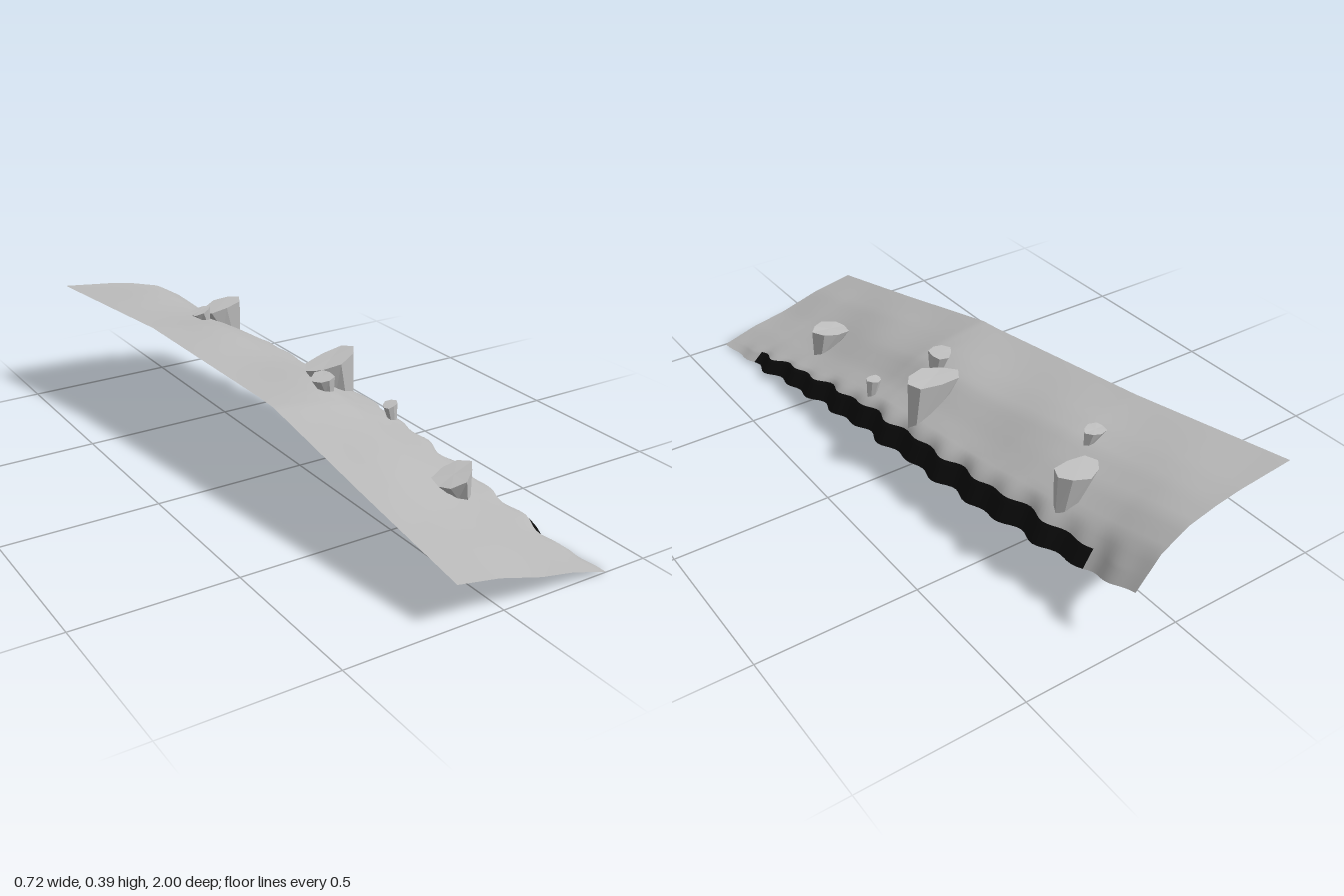
import * as THREE from 'three';

const rock = new THREE.MeshStandardMaterial({ color: 0xb8b8b8, side: THREE.DoubleSide });
rock.name = 'pale grey stone';
const boulderGrey = new THREE.MeshStandardMaterial({ color: 0xc0c0c0, flatShading: true, side: THREE.DoubleSide });
boulderGrey.name = 'light grey boulder';
const dark = new THREE.MeshStandardMaterial({ color: 0x0c0c0c, side: THREE.DoubleSide });
dark.name = 'black cliff edge';

// piecewise linear lookup in a list of [key, value]
function lookup(points, k) {
  for (let i = 1; i < points.length; i++) {
    const [a, va] = points[i - 1], [b, vb] = points[i];
    if (k <= b) return va + (vb - va) * Math.max(0, (k - a) / (b - a));
  }
  return points[points.length - 1][1];
}

// plan outline and heights of the two long edges, by z
const leftX = [[-1, -0.36], [-0.5, -0.26], [0.1, -0.2], [1, -0.16]];
const rightX = [[-1, 0.16], [-0.8, 0.185], [-0.4, 0.25], [0, 0.285], [0.4, 0.31], [0.8, 0.34], [1, 0.36]];
const leftY = [[-1, 0.39], [-0.5, 0.365], [0.17, 0.312], [0.6, 0.215], [1, 0.13]];
const rightY = [[-1, 0.19], [-0.82, 0.148], [0.1, 0.103], [0.8, 0.013], [1, 0.003]];

// share of the drop reached across the slope, at four stations along z
const drops = [
  [-1, [[0, 0], [0.35, 0.1], [0.5, 0.17], [0.69, 0.3], [0.85, 0.55], [1, 1]]],
  [-0.5, [[0, 0], [0.35, 0.1], [0.5, 0.17], [0.67, 0.34], [0.9, 0.6], [0.935, 0.7], [1, 1]]],
  [0.1, [[0, 0], [0.4, 0.12], [0.54, 0.19], [0.73, 0.45], [0.92, 0.62], [0.935, 0.69], [1, 1]]],
  [0.6, [[0, 0], [0.27, 0.12], [0.45, 0.27], [0.73, 0.55], [0.935, 0.69], [1, 1]]],
  [1, [[0, 0], [0.27, 0.2], [0.54, 0.53], [0.77, 0.71], [1, 1]]],
];
const RIM = 0.935;

function surface(t, z) {
  const wave = 0.009 * Math.sin(z * 46) + 0.005 * Math.sin(z * 27 + 1);
  const fade = Math.min(1, (1 - Math.abs(z)) * 6) * THREE.MathUtils.smoothstep(t, 0.85, 0.95);
  const x0 = lookup(leftX, z), y0 = lookup(leftY, z);
  const x = x0 + (lookup(rightX, z) - x0) * t + wave * fade;
  const share = lookup(drops.map(([s, p]) => [s, lookup(p, t)]), z);
  const bump = 0.004 * Math.sin(z * 14 + t * 3) * Math.sin(t * Math.PI);
  return [x, y0 + (lookup(rightY, z) - y0) * share + bump * Math.min(1, (1 - Math.abs(z)) * 5), z];
}

// curved sheet of ground whose steep rim is a second material group
function createSlope() {
  const across = 26, along = 120, position = [], body = [], rim = [];
  for (let j = 0; j <= along; j++) {
    for (let i = 0; i <= across; i++) {
      const t = i <= 22 ? (i / 22) * RIM : RIM + ((i - 22) / 4) * (1 - RIM);
      position.push(...surface(t, -1 + (2 * j) / along));
    }
  }
  for (let j = 0; j < along; j++) {
    for (let i = 0; i < across; i++) {
      const a = j * (across + 1) + i, b = a + across + 1;
      const z = -1 + (2 * j + 1) / along;
      const list = i >= 22 && Math.abs(z) < 0.82 ? rim : body;
      list.push(a, b, a + 1, b, b + 1, a + 1);
    }
  }
  const g = new THREE.BufferGeometry();
  g.setAttribute('position', new THREE.Float32BufferAttribute(position, 3));
  g.setIndex(body.concat(rim));
  g.addGroup(0, body.length, 0);
  g.addGroup(body.length, rim.length, 1);
  g.computeVertexNormals();
  const mesh = new THREE.Mesh(g, [rock, dark]);
  mesh.name = 'slope';
  return mesh;
}

// boulder: irregular tilted top, tapering down toward the low side
function createBoulder([x, z, rx, rz, yTop, yBottom, tilt], index) {
  const sides = 8;
  const g = new THREE.CylinderGeometry(1, 0.6, 1, sides, 1).toNonIndexed();
  const p = g.attributes.position;
  for (let i = 0; i < p.count; i++) {
    const px = p.getX(i), pz = p.getZ(i), top = p.getY(i) > 0;
    const a = Math.atan2(pz, px), centre = Math.hypot(px, pz) < 0.01;
    const r = centre ? 1 : 1 + 0.1 * Math.sin(a * 3 + index * 1.7);
    const skew = 0.25 * px * rz;
    const ox = px * r * rx + (top ? 0 : 0.38 * rx);
    p.setXYZ(i, x + ox, top ? yTop + tilt * (px - 1) / 2 : yBottom - px * 0.25 * rx, z + pz * r * rz - skew);
  }
  g.computeVertexNormals();
  const mesh = new THREE.Mesh(g, [boulderGrey, boulderGrey, dark]);
  mesh.name = 'boulder' + (index + 1);
  return mesh;
}

export function createModel() {
  const group = new THREE.Group();
  group.name = 'rockySlope';
  group.add(createSlope());
  // x, z, half width, half depth, top, bottom, rise of the top toward +x
  const boulders = [
    [0.08, -0.66, 0.08, 0.05, 0.352, 0.24, 0.025],
    [-0.05, -0.57, 0.04, 0.03, 0.373, 0.335, 0.014],
    [0.14, -0.04, 0.1, 0.056, 0.345, 0.19, 0.035],
    [0.037, 0.07, 0.04, 0.042, 0.328, 0.272, 0.006],
    [0.217, 0.18, 0.027, 0.024, 0.238, 0.175, 0.01],
    [0.14, 0.6, 0.07, 0.056, 0.205, 0.115, 0.033],
  ];
  boulders.forEach((b, i) => group.add(createBoulder(b, i)));
  return group;
}
